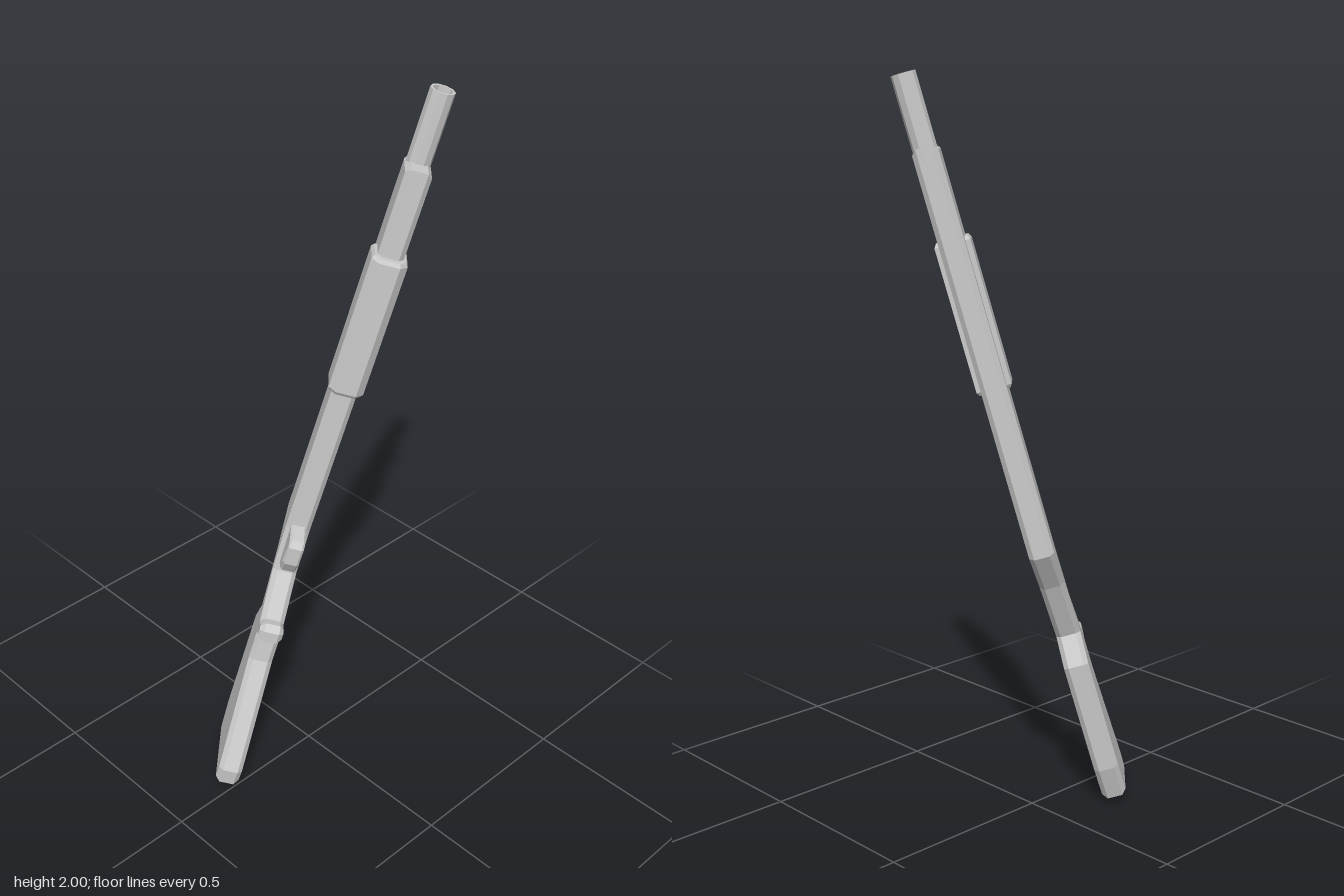
import * as THREE from 'three';

const grey = new THREE.MeshStandardMaterial({ color: 0xcccccc, flatShading: true });

// Profile points are [offset toward the top edge, height]; heights run along the tilted barrel.
const along = (h) => 1.0385 * h - 0.066;
const points = (list) => list.map(([w, h]) => new THREE.Vector2(w, along(h)));

// Chamfered plate cut from a side profile, centred on the mid plane
function plate(name, outline, thickness, chamfer, hole) {
  const shape = new THREE.Shape(points(outline));
  if (hole) shape.holes.push(new THREE.Path(points(hole)));
  const depth = thickness - 2 * chamfer;
  const geo = new THREE.ExtrudeGeometry(shape, {
    depth, bevelEnabled: true, bevelSegments: 1,
    bevelSize: chamfer, bevelThickness: chamfer, bevelOffset: -chamfer,
  });
  geo.translate(0, 0, -depth / 2);
  const mesh = new THREE.Mesh(geo, grey);
  mesh.name = name;
  return mesh;
}

export function createModel() {
  const gun = new THREE.Group();
  gun.name = 'longGun';

  // Stock, grip and receiver share one outline
  gun.add(plate('stockAndReceiver', [
    [0.137, 1.815], [0.031, 1.815], [0.033, 0.75], [0.012, 0.62],
    [-0.061, 0.505], [-0.09, 0.512], [-0.113, 0.5], [-0.113, 0.468], [-0.08, 0.452],
    [-0.086, 0.375], [-0.214, 0.065], [-0.208, 0.014], [-0.195, 0.01],
    [0.003, 0.026], [0.032, 0.12], [0.056, 0.43], [0.012, 0.505],
    [0.075, 0.66], [0.137, 0.76],
  ], 0.068, 0.013));

  // Trigger guard loop
  gun.add(plate('triggerGuard', [
    [0.045, 0.765], [-0.03, 0.758], [-0.044, 0.74], [-0.041, 0.685],
    [-0.018, 0.647], [0.025, 0.635],
  ], 0.044, 0.006, [
    [0.03, 0.737], [-0.02, 0.737], [-0.025, 0.69], [-0.008, 0.667], [0.02, 0.662],
  ]));

  // Trigger
  gun.add(plate('trigger', [
    [0.04, 0.725], [0.01, 0.715], [-0.01, 0.69], [-0.006, 0.683], [0.018, 0.696], [0.04, 0.7],
  ], 0.018, 0.003));

  // Hollow barrel
  const tube = [[0.001, 1.7], [0.025, 1.7], [0.025, 2.004], [0.032, 2.004], [0.032, 1.78]];
  const barrel = new THREE.Mesh(
    new THREE.LatheGeometry(tube.reverse().map(([r, s]) => new THREE.Vector2(r, s)), 10),
    grey.clone());
  barrel.material.side = THREE.DoubleSide;
  barrel.name = 'barrel';
  barrel.position.x = 0.107;
  gun.add(barrel);

  // Sliding fore-end: chamfered section swept along the barrel
  const half = 0.047, cut = 0.02, low = 0.01, high = 0.102;
  const section = new THREE.Shape([
    [low, -half + cut], [low + cut, -half], [high, -half],
    [high, half], [low + cut, half], [low, half - cut],
  ].map(([w, n]) => new THREE.Vector2(w, -n)));
  const end = 0.01, from = along(1.195), to = along(1.585);
  const foreGeo = new THREE.ExtrudeGeometry(section, {
    depth: to - from - 2 * end, bevelEnabled: true, bevelSegments: 1,
    bevelSize: 0.006, bevelThickness: end, bevelOffset: -0.006,
  });
  foreGeo.rotateX(-Math.PI / 2);
  foreGeo.translate(0, from + end, 0);
  const foreEnd = new THREE.Mesh(foreGeo, grey);
  foreEnd.name = 'foreEnd';
  gun.add(foreEnd);

  // Lean the whole gun: local x = top edge, y = barrel, z = side
  const up = new THREE.Vector3(-1, 0, -1).normalize();
  const dir = new THREE.Vector3(0.19, 0.963, -0.19).normalize();
  const side = new THREE.Vector3().crossVectors(up, dir);
  gun.quaternion.setFromRotationMatrix(new THREE.Matrix4().makeBasis(up, dir, side));

  // Centre it and stand it on the ground
  const model = new THREE.Group();
  model.name = 'model';
  model.add(gun);
  model.updateMatrixWorld(true);
  const box = new THREE.Box3().setFromObject(model, true);
  const mid = box.getCenter(new THREE.Vector3());
  gun.position.set(-mid.x, -box.min.y, -mid.z);
  gun.updateMatrixWorld(true);
  return model;
}
